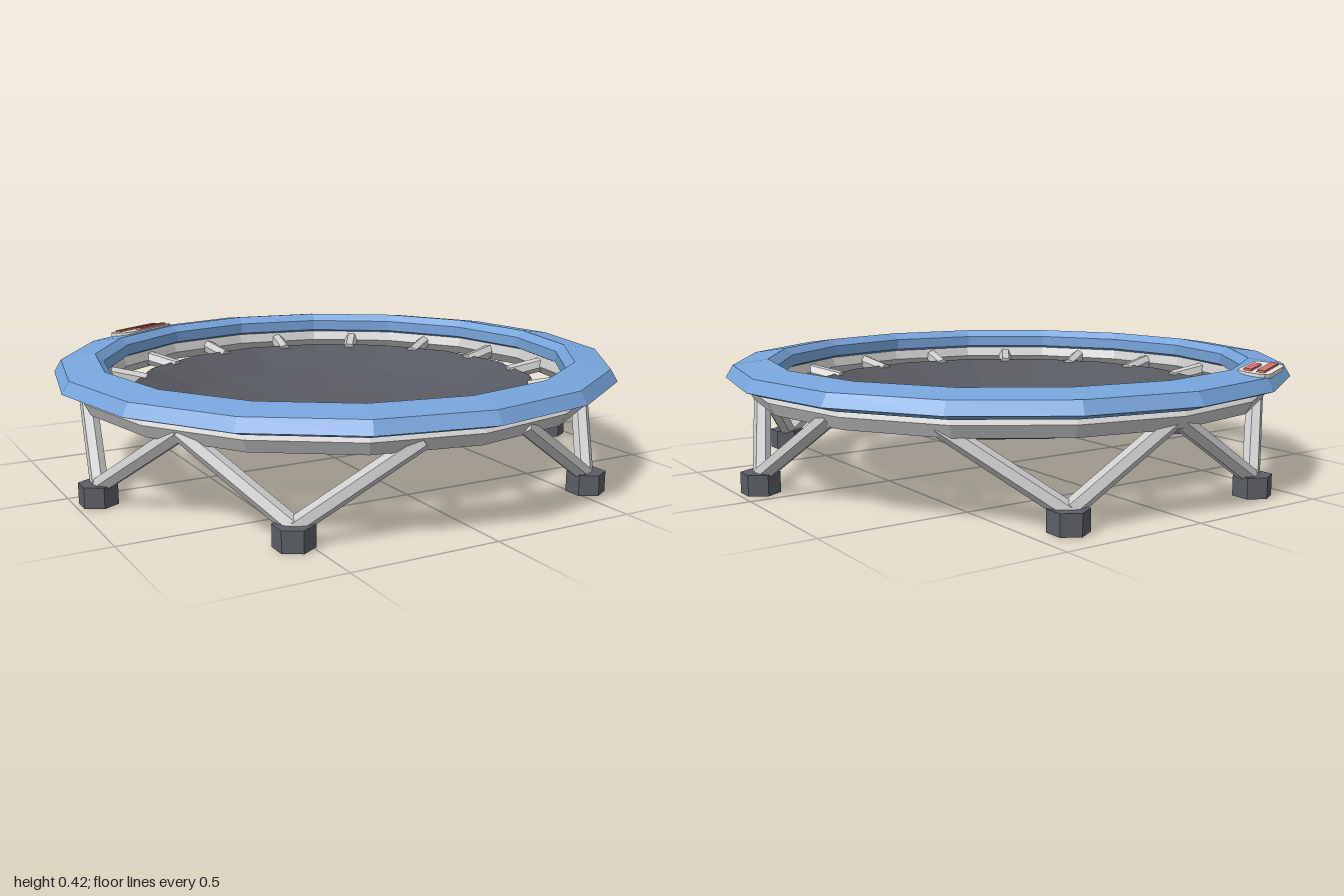
import * as THREE from 'three';

const SIDES = 16;
const rad = THREE.MathUtils.degToRad;

const flat = (color) => new THREE.MeshStandardMaterial({ color, flatShading: true });
const metal = flat(0xcccccc);
const blue = flat(0x78a5dc);
const dark = flat(0x585a61);
const rubber = flat(0x5c5f66);
const white = flat(0xe6e4df);
const red = flat(0xd9766c);

// Point on a circle: angle measured from +x towards +z
const polar = (deg, r, y) => new THREE.Vector3(r * Math.cos(rad(deg)), y, r * Math.sin(rad(deg)));

function part(name, geometry, material, parent) {
  const mesh = new THREE.Mesh(geometry, material);
  mesh.name = name;
  parent.add(mesh);
  return mesh;
}

// Faceted ring or bowl turned from a profile of [radius, height]
function turned(name, profile, material, parent) {
  const points = profile.map(([r, y]) => new THREE.Vector2(r, y));
  return part(name, new THREE.LatheGeometry(points, SIDES), material, parent);
}

// Six-sided bar between two points
function bar(name, a, b, r, material, parent) {
  const dir = b.clone().sub(a);
  const mesh = part(name, new THREE.CylinderGeometry(r, r, dir.length(), 6), material, parent);
  mesh.position.copy(a).add(b).multiplyScalar(0.5);
  mesh.quaternion.setFromUnitVectors(new THREE.Vector3(0, 1, 0), dir.normalize());
  return mesh;
}

function roundedPlate(w, d, r, h) {
  const x = w / 2, y = d / 2;
  const s = new THREE.Shape();
  s.moveTo(-x + r, -y);
  s.lineTo(x - r, -y);
  s.quadraticCurveTo(x, -y, x, -y + r);
  s.lineTo(x, y - r);
  s.quadraticCurveTo(x, y, x - r, y);
  s.lineTo(-x + r, y);
  s.quadraticCurveTo(-x, y, -x, y - r);
  s.lineTo(-x, -y + r);
  s.quadraticCurveTo(-x, -y, -x + r, -y);
  const g = new THREE.ExtrudeGeometry(s, { depth: h, bevelEnabled: false, curveSegments: 4 });
  return g.rotateX(-Math.PI / 2);
}

export function createModel() {
  const model = new THREE.Group();
  model.name = 'trampoline';

  // Padded safety ring
  turned('edgePad', [
    [0.85, 0.335], [0.94, 0.33], [1.0, 0.35], [0.975, 0.392],
    [0.855, 0.41], [0.826, 0.385], [0.826, 0.345], [0.85, 0.335],
  ], blue, model);

  // Steel hoop under the pad
  turned('frameRing', [
    [0.86, 0.268], [0.908, 0.27], [0.93, 0.312], [0.9, 0.338],
    [0.85, 0.338], [0.835, 0.3], [0.86, 0.268],
  ], metal, model);

  // Sagging mat with a thin rim
  turned('mat', [
    [0, 0.155], [0.33, 0.162], [0.55, 0.197], [0.7, 0.262], [0.735, 0.29],
    [0.73, 0.298], [0.54, 0.225], [0.33, 0.187], [0, 0.175],
  ], dark, model);

  // Springs between mat and hoop
  const springs = new THREE.Group();
  springs.name = 'springs';
  model.add(springs);
  for (let i = 0; i < SIDES; i++) {
    const a = (i + 0.5) * 360 / SIDES;
    bar('spring', polar(a, 0.7, 0.28), polar(a, 0.87, 0.31), 0.027, metal, springs);
  }

  // Three pairs of V-shaped legs, each pair sharing its middle joint
  for (const pair of [30, 150, 270]) {
    for (const side of [-24, 24]) {
      const a = pair + side;
      const leg = new THREE.Group();
      leg.name = 'leg';
      model.add(leg);
      for (const spread of [-24, 24]) {
        bar('strut', polar(a, 0.925, 0.06), polar(a + spread, 0.885, 0.3), 0.03, metal, leg);
      }
      const foot = part('foot', new THREE.CylinderGeometry(0.065, 0.065, 0.07, 6), rubber, leg);
      foot.position.copy(polar(a, 0.93, 0.035));
    }
  }

  // Small plain patch with two stripes at the back of the pad
  const patch = new THREE.Group();
  patch.name = 'patch';
  patch.rotation.order = 'YXZ';
  patch.rotation.set(0.1, rad(210), 0);
  patch.position.set(-0.458, 0.393, -0.797);
  model.add(patch);
  part('patchBase', roundedPlate(0.29, 0.105, 0.05, 0.015), white, patch);
  for (const [x, z, w] of [[0.004, 0.02, 0.22], [-0.035, -0.022, 0.15]]) {
    const stripe = part('patchStripe', new THREE.BoxGeometry(w, 0.012, 0.025), red, patch);
    stripe.position.set(x, 0.016, z);
  }

  return model;
}
